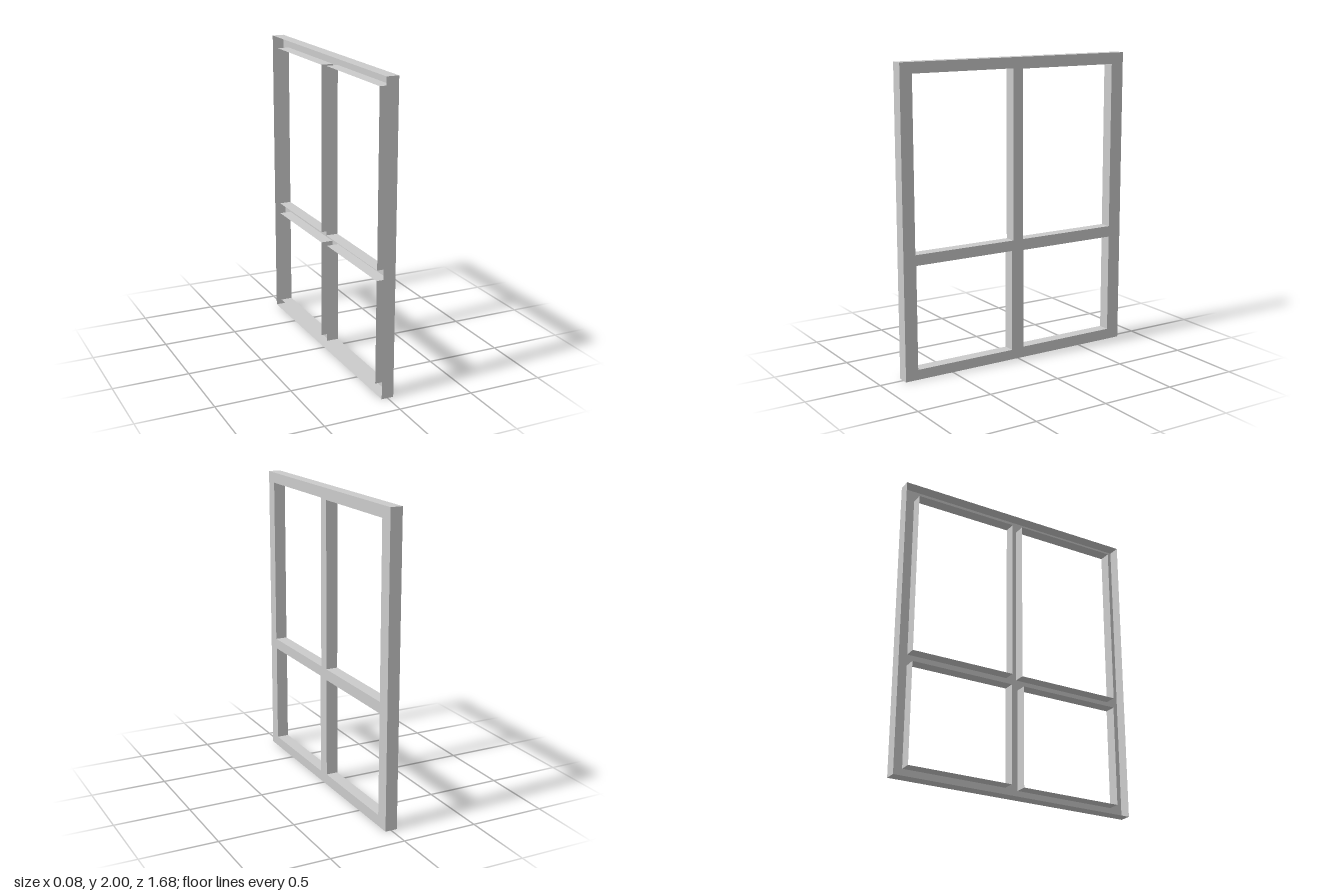
import * as THREE from 'three';

const HALF_DEPTH = 0.04;
const OUTER = [-0.84, 0, 0.84, 2]; // rectangles are [u0, y0, u1, y1], with u = -z
const PANES = {
  upperFront: [-0.757, 0.813, -0.037, 1.93],
  upperBack: [0.037, 0.813, 0.747, 1.925],
  lowerFront: [-0.752, 0.066, -0.047, 0.744],
  lowerBack: [0.042, 0.072, 0.747, 0.739],
};

const corners = ([u0, y0, u1, y1]) =>
  [[u0, y0], [u1, y0], [u1, y1], [u0, y1]].map(([u, y]) => new THREE.Vector2(u, y));

// Four walls round a rectangle, open at both ends; the loop's direction sets the facing
function wallRing(loop) {
  const positions = [];
  loop.forEach((a, i) => {
    const b = loop[(i + 1) % loop.length];
    const d = HALF_DEPTH;
    positions.push(a.x, a.y, -d, b.x, b.y, -d, b.x, b.y, d);
    positions.push(a.x, a.y, -d, b.x, b.y, d, a.x, a.y, d);
  });
  const geometry = new THREE.BufferGeometry();
  geometry.setAttribute('position', new THREE.Float32BufferAttribute(positions, 3));
  geometry.computeVertexNormals();
  return geometry;
}

export function createModel() {
  const group = new THREE.Group();
  group.name = 'windowFrame';
  const material = new THREE.MeshStandardMaterial({ color: 0xcccccc, side: THREE.DoubleSide });

  const add = (name, geometry) => {
    geometry.rotateY(Math.PI / 2); // the face looks towards +x
    const mesh = new THREE.Mesh(geometry, material);
    mesh.name = name;
    group.add(mesh);
  };

  // Flat face with four pane openings; the opposite side of the frame is open
  const face = new THREE.Shape(corners(OUTER));
  for (const pane of Object.values(PANES)) face.holes.push(new THREE.Path(corners(pane).reverse()));
  add('frameFace', new THREE.ShapeGeometry(face).translate(0, 0, HALF_DEPTH));

  // Outer rim and the reveal round each opening
  add('outerRim', wallRing(corners(OUTER)));
  for (const [name, pane] of Object.entries(PANES)) {
    add(`${name}Reveal`, wallRing(corners(pane).reverse()));
  }
  return group;
}
